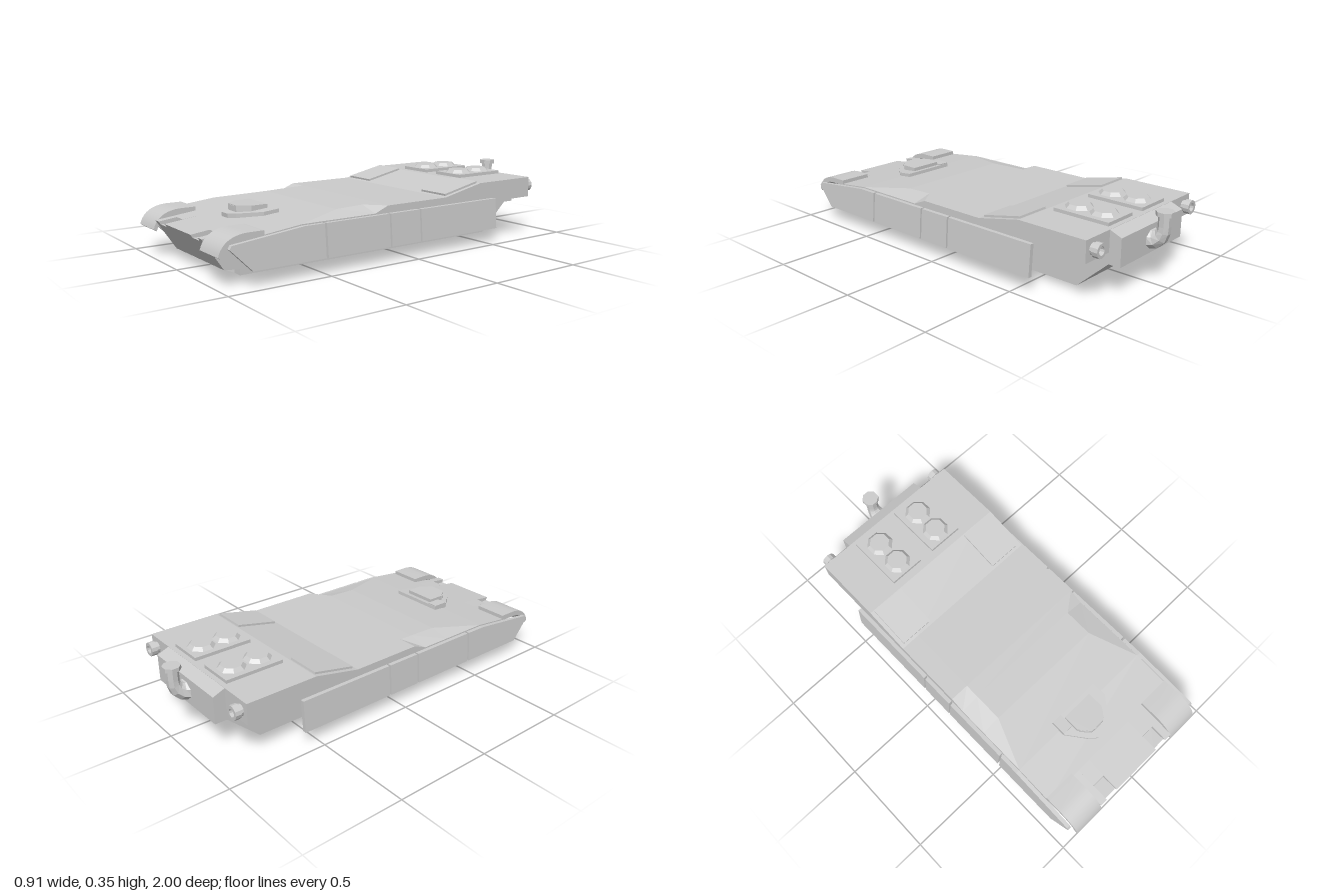
import * as THREE from 'three';
import { toCreasedNormals } from 'three/addons/utils/BufferGeometryUtils.js';

const material = new THREE.MeshStandardMaterial({ color: 0xcccccc, flatShading: true });
const smoothMaterial = new THREE.MeshStandardMaterial({ color: 0xcccccc });

function add(parent, name, geometry, x = 0, y = 0, z = 0, mat = material) {
  const mesh = new THREE.Mesh(geometry, mat);
  mesh.name = name;
  mesh.position.set(x, y, z);
  parent.add(mesh);
  return mesh;
}

const polygon = (points) => new THREE.Shape(points.map(([a, b]) => new THREE.Vector2(a, b)));

// Side profile of [z, y] points, extruded from x0 to x1
function sideExtrude(points, x0, x1) {
  const g = new THREE.ExtrudeGeometry(polygon(points), { depth: x1 - x0, bevelEnabled: false });
  return g.rotateY(-Math.PI / 2).translate(x1, 0, 0);
}

// Plan outline of [x, z] points, extruded from y0 up to y1
function planExtrude(points, y0, y1) {
  const g = new THREE.ExtrudeGeometry(polygon(points), { depth: y1 - y0, bevelEnabled: false });
  return g.rotateX(Math.PI / 2).translate(0, y1, 0);
}

// Closed skin over rings of [x, y, z], counter-clockwise seen against the travel direction
function loft(rings) {
  const n = rings[0].length, index = [];
  for (let i = 0; i < rings.length - 1; i++) {
    for (let j = 0; j < n; j++) {
      const a = i * n + j, b = i * n + (j + 1) % n;
      index.push(a, b, b + n, a, b + n, a + n);
    }
  }
  const last = (rings.length - 1) * n;
  for (let j = 1; j < n - 1; j++) index.push(0, j + 1, j, last, last + j, last + j + 1);
  const g = new THREE.BufferGeometry();
  g.setAttribute('position', new THREE.Float32BufferAttribute(rings.flat(2), 3));
  g.setIndex(index);
  const flat = g.toNonIndexed();
  flat.computeVertexNormals();
  return flat;
}

function addHull(model) {
  const hull = new THREE.Group();
  hull.name = 'hull';
  model.add(hull);

  // Upper hull sections: z, ridge x, ridge y, side y, underside y
  const sections = [
    [-0.845, 0.32, 0.31, 0.31, 0.205], [-0.48, 0.32, 0.31, 0.31, 0.205],
    [-0.24, 0.32, 0.26, 0.26, 0.205], [0.125, 0.32, 0.26, 0.26, 0.205],
    [0.2, 0.32, 0.258, 0.23, 0.205], [0.35, 0.32, 0.253, 0.23, 0.205],
    [0.6, 0.418, 0.23, 0.23, 0.205], [0.8, 0.418, 0.207, 0.207, 0.18],
  ];
  add(hull, 'upperHull', loft(sections.map(([z, x, y, ys, yb]) => [
    [-0.42, yb, z], [0.42, yb, z], [0.42, ys, z], [x, y, z], [-x, y, z], [-0.42, ys, z],
  ])));

  // Lower hull in strips, two of them with a tow notch cut into the nose
  const nose = [[0.98, 0.17], [0.99, 0.185]];
  const notch = [[0.98, 0.17], [0.9, 0.17], [0.9, 0.196]];
  const tub = (front) => [
    [-0.68, 0], [0.815, 0], [0.815, 0.028], [0.89, 0.035], ...front,
    [0.8, 0.207], [0.6, 0.21], [-0.8, 0.215], [-0.8, 0.304], [-0.845, 0.309],
    [-0.905, 0.285], [-0.905, 0.15], [-0.845, 0.15],
  ];
  const strips = [[-0.25, -0.21, nose], [-0.21, -0.14, notch], [-0.14, 0.14, nose],
    [0.14, 0.21, notch], [0.21, 0.25, nose]];
  for (const [x0, x1, front] of strips) add(hull, 'lowerHull', sideExtrude(tub(front), x0, x1));

  // Tapered wedge under the nose
  const wedge = sideExtrude([[0.815, 0], [0.89, 0.034], [0.815, 0.034]], -0.2, 0.2);
  const p = wedge.attributes.position;
  for (let i = 0; i < p.count; i++) if (p.getZ(i) > 0.85) p.setX(i, p.getX(i) * 0.8);
  add(hull, 'noseWedge', wedge);
}

function addSkirts(model) {
  const rect = (z0, z1) => [[z0, 0.07], [z1, 0.07], [z1, 0.225], [z0, 0.225]];
  const panels = [
    rect(-0.57, -0.062), rect(-0.052, 0.123), rect(0.133, 0.484),
    [[0.495, 0.07], [0.86, 0.07], [0.96, 0.172], [0.95, 0.188], [0.6, 0.225], [0.495, 0.225]],
  ];
  for (const side of [-1, 1]) {
    for (const points of panels) {
      const g = sideExtrude(points, -0.01, 0.01);
      const p = g.attributes.position;
      // Lean the foot of each panel outwards
      for (let i = 0; i < p.count; i++) p.setX(i, p.getX(i) + side * (0.225 - p.getY(i)) * 0.08);
      add(model, 'sideSkirt', g, side * 0.432);
    }
  }
}

function addMudguards(model) {
  const s = new THREE.Shape();
  s.moveTo(0.785, 0.2);
  s.lineTo(0.785, 0.228);
  s.lineTo(0.87, 0.228);
  s.bezierCurveTo(0.94, 0.224, 0.985, 0.195, 1, 0.14);
  s.lineTo(0.985, 0.13);
  s.bezierCurveTo(0.97, 0.175, 0.93, 0.2, 0.87, 0.2);
  for (const x of [-0.335, 0.335]) {
    const g = new THREE.ExtrudeGeometry(s, { depth: 0.17, bevelEnabled: false, curveSegments: 10 });
    g.rotateY(-Math.PI / 2).translate(0.085, 0, 0);
    add(model, 'frontMudguard', toCreasedNormals(g, 0.5), x, 0, 0, smoothMaterial);
  }
}

function addDriverHatch(model) {
  const hatch = new THREE.Group();
  hatch.name = 'driverHatch';
  model.add(hatch);
  const base = planExtrude([[-0.145, 0], [0.145, 0], [0.145, 0.08], [0.065, 0.182], [0.03, 0.207],
    [-0.03, 0.207], [-0.065, 0.182], [-0.145, 0.08]], -0.03, 0);
  add(hatch, 'hatchBase', base, 0, 0.252, 0.55).rotation.x = 0.09;
  add(hatch, 'hatchTower', planExtrude([[-0.085, 0.575], [0.085, 0.575], [0.085, 0.66],
    [0.04, 0.715], [-0.04, 0.715], [-0.085, 0.66]], 0.22, 0.268));
  add(hatch, 'hatchSideBox', new THREE.BoxGeometry(0.055, 0.02, 0.075), -0.1175, 0.247, 0.59);
  // Vision blocks on the three front faces
  for (const k of [-1, 0, 1]) {
    const block = add(hatch, 'visionBlock', new THREE.BoxGeometry(0.044, 0.024, 0.006),
      k * 0.0625, 0.252, k ? 0.6875 : 0.715);
    block.rotation.y = k * 0.885;
  }
}

function addEngineDeck(model) {
  for (const side of [-1, 1]) {
    // Fan plates with two octagonal covers each
    add(model, 'fanPlate', new THREE.BoxGeometry(0.185, 0.025, 0.3), side * 0.1325, 0.314, -0.67);
    for (const z of [-0.735, -0.597]) {
      const cover = new THREE.CylinderGeometry(0.052, 0.07, 0.018, 8).rotateY(Math.PI / 8);
      add(model, 'fanCover', cover, side * 0.1325, 0.3345, z);
    }
    // Access panels lying on the slope
    const panel = add(model, 'accessPanel', new THREE.BoxGeometry(0.178, 0.016, 0.222),
      side * 0.31, 0.288, -0.364);
    panel.rotation.x = Math.atan2(0.05, 0.24);

    // Hollow rear lamps
    const profile = [[0, 0.012], [0.02, 0.012], [0.02, 0.045], [0.035, 0.045], [0.035, 0.015],
      [0.028, 0.015], [0.028, -0.01]].reverse().map(([r, h]) => new THREE.Vector2(r, h));
    const lamp = new THREE.LatheGeometry(profile, 12).rotateX(-Math.PI / 2);
    add(model, 'rearLamp', lamp, side * 0.37, 0.26, -0.845);
  }
}

function addExhaust(model) {
  const exhaust = new THREE.Group();
  exhaust.name = 'exhaust';
  model.add(exhaust);
  // Elbow: y, z, direction angle, half width, half depth
  const path = [[0.215, -0.9, 0, 0.06, 0.05], [0.217, -0.925, 0.35, 0.047, 0.044],
    [0.235, -0.947, 0.8, 0.038, 0.037], [0.26, -0.958, 1.25, 0.033, 0.032],
    [0.285, -0.96, Math.PI / 2, 0.031, 0.03], [0.335, -0.96, Math.PI / 2, 0.031, 0.03]];
  add(exhaust, 'exhaustElbow', loft(path.map(([y, z, a, w, d]) =>
    Array.from({ length: 8 }, (_, i) => {
      const t = (i + 0.5) * Math.PI / 4, v = d * Math.sin(t);
      return [w * Math.cos(t), y - v * Math.cos(a), z - v * Math.sin(a)];
    }))));
  add(exhaust, 'exhaustCap', new THREE.CylinderGeometry(0.043, 0.043, 0.02, 8).rotateY(Math.PI / 8),
    0, 0.345, -0.96);
}

export function createModel() {
  const model = new THREE.Group();
  model.name = 'armouredHull';
  addHull(model);
  addSkirts(model);
  addMudguards(model);
  addDriverHatch(model);
  addEngineDeck(model);
  addExhaust(model);
  return model;
}
